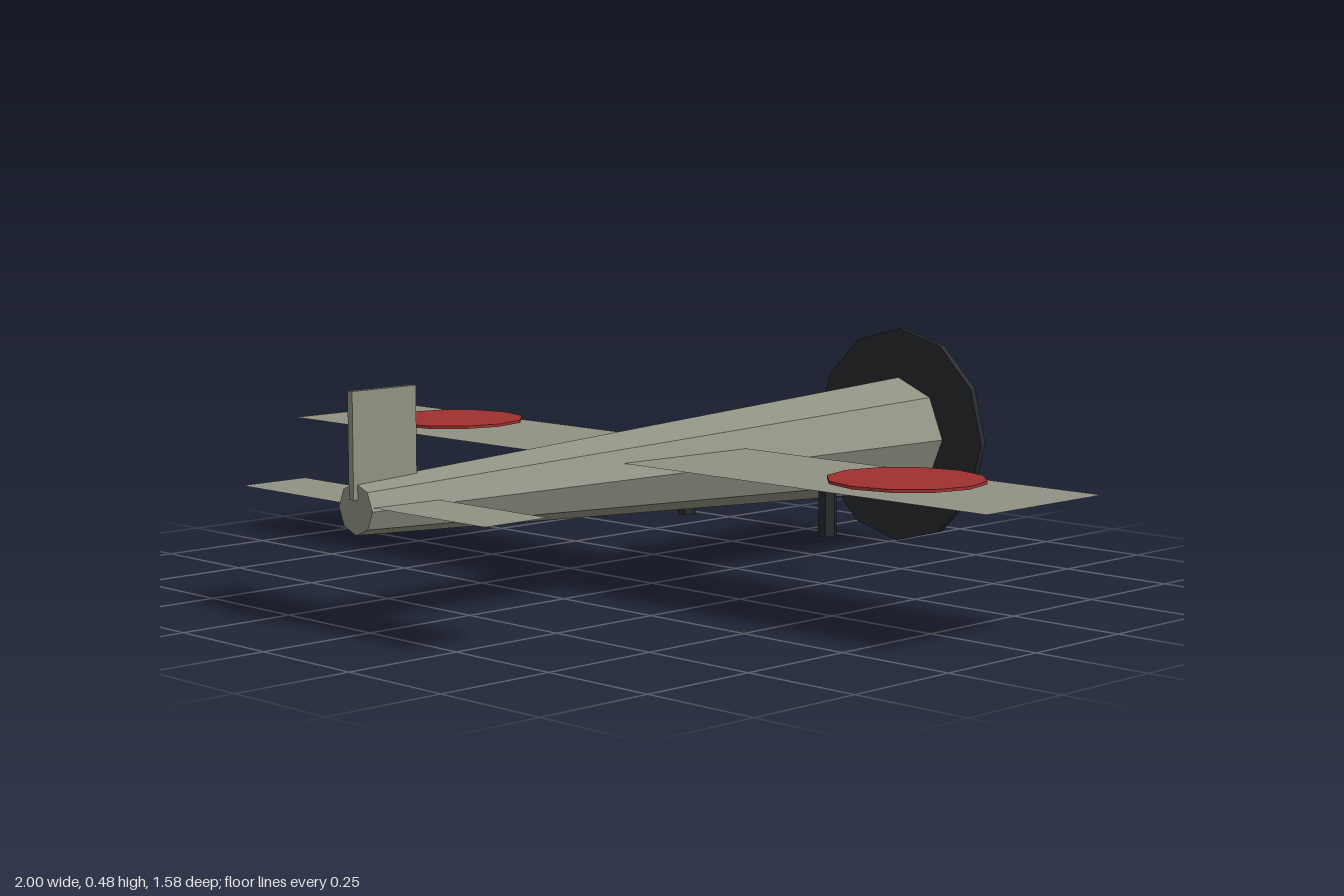
import * as THREE from 'three';

const AXIS_Y = 0.243; // height of the fuselage centreline

const material = (color, side = THREE.FrontSide) =>
  new THREE.MeshStandardMaterial({ color, side, flatShading: true });

export function createModel() {
  const model = new THREE.Group();
  model.name = 'airplane';

  const body = material(0x8e9282);
  const sheet = material(0x8e9282, THREE.DoubleSide);
  const red = material(0xa03030);
  const dark = material(0x25282a);

  const add = (name, geometry, mat, x, y, z) => {
    const mesh = new THREE.Mesh(geometry, mat);
    mesh.name = name;
    mesh.position.set(x, y, z);
    model.add(mesh);
    return mesh;
  };

  // Eight-sided fuselage, wide at the nose (-z), narrow at the tail (+z)
  add('fuselage', new THREE.CylinderGeometry(0.05, 0.13, 1.56, 8).rotateX(Math.PI / 2),
    body, 0, AXIS_Y, 0);

  // Propeller disc on the nose
  add('propellerDisc', new THREE.CylinderGeometry(0.24, 0.24, 0.015, 12).rotateX(Math.PI / 2),
    dark, 0, AXIS_Y, -0.782);

  // Paper-thin wing and tailplane
  add('wing', new THREE.PlaneGeometry(2, 0.34).rotateX(-Math.PI / 2), sheet, 0, 0.275, -0.02);
  add('tailplane', new THREE.PlaneGeometry(0.72, 0.155).rotateX(-Math.PI / 2), sheet, 0, 0.25, 0.698);

  // Upright tail fin
  add('tailFin', new THREE.BoxGeometry(0.014, 0.205, 0.154), body, 0, 0.364, 0.713);

  // Mirrored wing discs and wheel posts
  for (const [side, s] of [['left', 1], ['right', -1]]) {
    add(side + 'WingDisc', new THREE.CylinderGeometry(0.155, 0.155, 0.006, 12),
      red, s * 0.66, 0.285, -0.03);
    add(side + 'WheelPost', new THREE.CylinderGeometry(0.02, 0.02, 0.1, 6).rotateY(Math.PI / 6),
      dark, s * 0.207, 0.141, -0.31);
  }

  return model;
}
